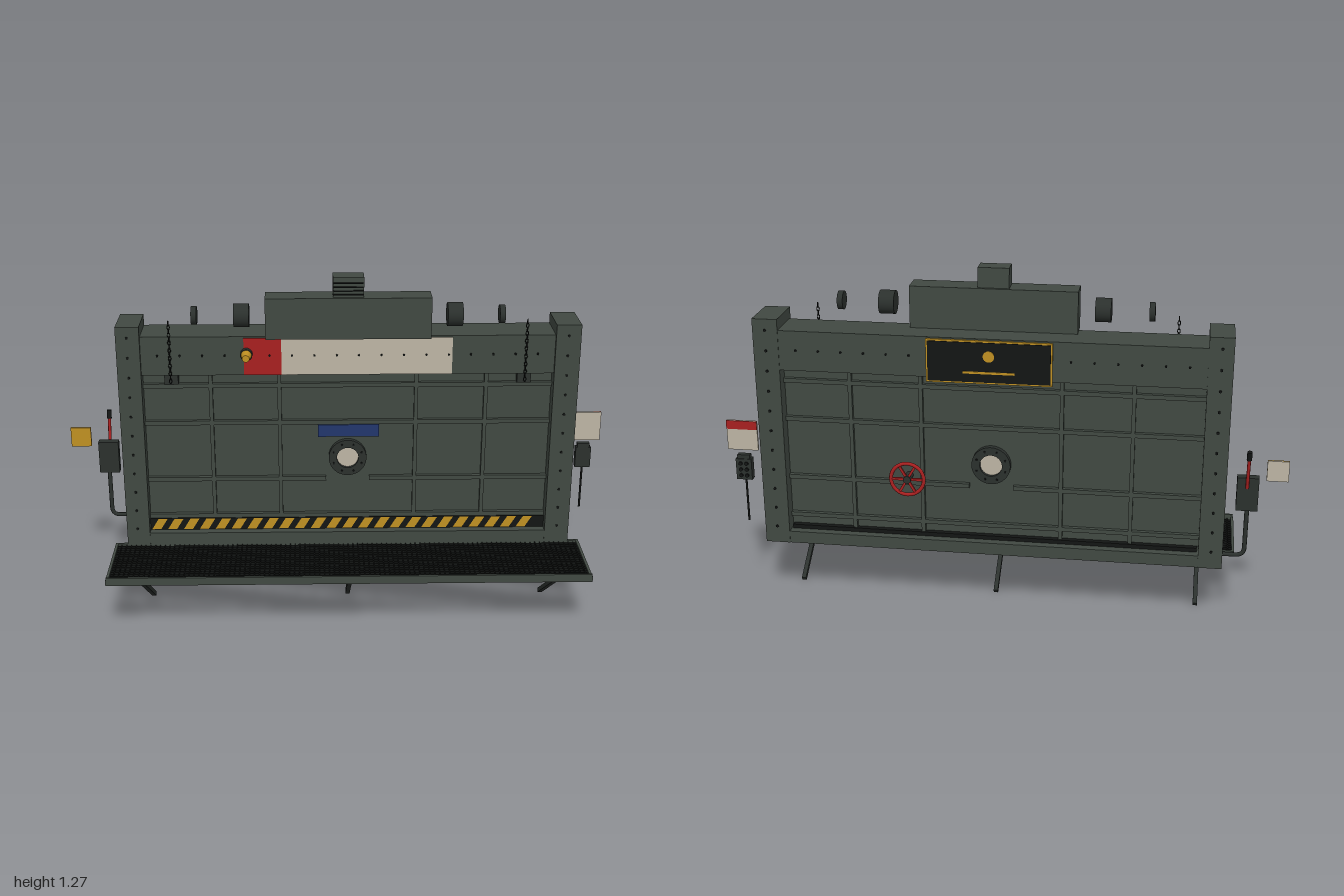
import * as THREE from 'three';
import { mergeGeometries } from 'three/addons/utils/BufferGeometryUtils.js';

const mat = (name, color) => {
  const m = new THREE.MeshStandardMaterial({ color });
  m.name = name;
  return m;
};

export function createModel() {
  const root = new THREE.Group();
  root.name = 'blastDoor';
  const steel = mat('greenGreySteel', 0x414942);
  const dark = mat('darkSteel', 0x2b302d);
  const black = mat('black', 0x131514);
  const beige = mat('beige', 0xbdb5a4);
  const yellow = mat('yellow', 0xc09022);
  const red = mat('red', 0xa82020);
  const blue = mat('blue', 0x22366c);
  const CX = 0.04; // middle of the doorway

  const add = (name, geo, material, parent = root) => {
    const m = new THREE.Mesh(geo, material);
    m.name = name;
    parent.add(m);
    return m;
  };
  // box given by its two corners
  const boxGeo = (x0, x1, y0, y1, z0, z1) =>
    new THREE.BoxGeometry(x1 - x0, y1 - y0, z1 - z0).translate((x0 + x1) / 2, (y0 + y1) / 2, (z0 + z1) / 2);
  const box = (name, material, ...b) => add(name, boxGeo(...b), material);
  // cylinders along x or z
  const cylX = (r, len, x, y, z, n = 24) =>
    new THREE.CylinderGeometry(r, r, len, n).rotateZ(Math.PI / 2).translate(x, y, z);
  const cylZ = (r, len, x, y, z, n = 24, r2 = r) =>
    new THREE.CylinderGeometry(r2, r, len, n).rotateX(Math.PI / 2).translate(x, y, z);
  // straight bar between two points
  const rod = (name, material, a, b, r, sides = 8) => {
    const p = new THREE.Vector3(...a), q = new THREE.Vector3(...b);
    const m = add(name, new THREE.CylinderGeometry(r, r, p.distanceTo(q), sides), material);
    m.position.copy(p).add(q).multiplyScalar(0.5);
    m.quaternion.setFromUnitVectors(new THREE.Vector3(0, 1, 0), q.sub(p).normalize());
    return m;
  };

  // frame
  box('rightColumn', steel, -0.79, -0.705, 0.23, 1.085, -0.207, -0.043);
  box('leftColumn', steel, 0.785, 0.875, 0.23, 1.085, -0.207, -0.043);
  box('headerBeam', steel, -0.705, 0.785, 0.9, 1.045, -0.205, -0.055);
  box('sill', steel, -0.705, 0.785, 0.23, 0.275, -0.205, -0.045);

  // bolts on columns and header, front and back
  const bolts = [];
  for (const z of [-0.043, -0.208]) {
    for (let i = 0; i < 11; i++)
      for (const x of [-0.75, 0.83]) bolts.push(cylZ(0.005, 0.008, x, 0.295 + i * 0.075, z, 6));
    for (let i = 0; i < 18; i++) bolts.push(cylZ(0.004, 0.01, -0.645 + i * 0.0805, 0.975, z < -0.1 ? -0.206 : -0.051, 6));
  }
  add('bolts', mergeGeometries(bolts), black);

  // door leaf with ribs on both faces
  const leaf = new THREE.Shape();
  leaf.moveTo(-0.705, 0.27).lineTo(0.785, 0.27).lineTo(0.785, 0.9).lineTo(-0.705, 0.9).closePath();
  leaf.holes.push(new THREE.Path().absarc(CX, 0.565, 0.045, 0, Math.PI * 2, true));
  add('doorLeaf', new THREE.ExtrudeGeometry(leaf, { depth: 0.06, bevelEnabled: false, curveSegments: 24 }).translate(0, 0, -0.155), steel);
  const ribs = [];
  for (const [z0, z1] of [[-0.097, -0.08], [-0.17, -0.153]]) {
    for (const y of [0.85, 0.705, 0.33]) ribs.push(boxGeo(-0.705, 0.785, y - 0.008, y + 0.008, z0, z1));
    ribs.push(boxGeo(-0.705, CX - 0.08, 0.472, 0.488, z0, z1), boxGeo(CX + 0.08, 0.785, 0.472, 0.488, z0, z1));
    for (const x of [-0.46, -0.21, 0.29, 0.545]) ribs.push(boxGeo(x - 0.007, x + 0.007, 0.275, 0.9, z0, z1));
  }
  add('doorRibs', mergeGeometries(ribs), steel);
  box('bottomSeal', black, -0.7, 0.78, 0.275, 0.29, -0.175, -0.155);

  // porthole
  const ring = new THREE.Shape().absarc(0, 0, 0.07, 0, Math.PI * 2);
  ring.holes.push(new THREE.Path().absarc(0, 0, 0.04, 0, Math.PI * 2, true));
  const ringGeo = new THREE.ExtrudeGeometry(ring, { depth: 0.1, bevelEnabled: false, curveSegments: 32 });
  add('portholeRing', ringGeo.translate(CX, 0.565, -0.175), dark);
  add('portholeGlass', cylZ(0.041, 0.075, CX, 0.565, -0.125, 32), beige);
  const ringBolts = [];
  for (let i = 0; i < 8; i++) {
    const a = (i + 0.5) * Math.PI / 4;
    ringBolts.push(cylZ(0.004, 0.108, CX + 0.056 * Math.cos(a), 0.565 + 0.056 * Math.sin(a), -0.125, 6));
  }
  add('portholeBolts', mergeGeometries(ringBolts), black);
  box('bluePlaque', blue, -0.07, 0.155, 0.65, 0.697, -0.08, -0.075);

  // hazard stripes along the door foot
  box('hazardBand', black, -0.705, 0.785, 0.275, 0.322, -0.08, -0.076);
  const stripes = [];
  for (let x = -0.7; x < 0.74; x += 0.06) {
    const s = new THREE.Shape();
    s.moveTo(x, 0.277).lineTo(x + 0.034, 0.277).lineTo(x + 0.06, 0.32).lineTo(x + 0.026, 0.32).closePath();
    stripes.push(new THREE.ShapeGeometry(s).translate(0, 0, -0.075));
  }
  add('hazardStripes', mergeGeometries(stripes), yellow);

  // header signs and warning lamp
  box('redPanel', red, -0.335, -0.2, 0.902, 1.04, -0.056, -0.05);
  box('beigePanel', beige, -0.2, 0.415, 0.902, 1.04, -0.056, -0.05);
  add('lampBase', cylZ(0.022, 0.02, -0.325, 0.982, -0.042), dark);
  add('lampDome', cylZ(0.019, 0.04, -0.325, 0.982, -0.012, 24, 0.013), yellow);
  box('backSignBorder', yellow, -0.18, 0.26, 0.885, 1.04, -0.212, -0.204);
  box('backSign', black, -0.174, 0.254, 0.891, 1.034, -0.215, -0.21);
  add('backSignMark', cylZ(0.02, 0.004, CX, 0.985, -0.215).scale(1, 1, 1), yellow);
  box('backSignLine', yellow, -0.05, 0.13, 0.922, 0.93, -0.217, -0.214);

  // hoist on top
  box('motorHousing', steel, -0.255, 0.335, 1.045, 1.195, -0.106, -0.017);
  box('ventCap', steel, -0.015, 0.095, 1.19, 1.267, -0.095, -0.03);
  for (let i = 0; i < 4; i++) box('ventSlat', black, -0.012, 0.092, 1.203 + i * 0.014, 1.207 + i * 0.014, -0.031, -0.025);
  for (const s of [-1, 1]) {
    add('drum', cylX(0.042, 0.055, CX + s * 0.38, 1.123, -0.061, 32), dark);
    add('pulley', cylX(0.033, 0.02, CX + s * 0.548, 1.123, -0.061, 32), dark);
    // lifting chain and its bracket
    const x = CX + s * 0.64, links = [];
    for (let i = 0; i < 16; i++)
      links.push(new THREE.TorusGeometry(0.006, 0.002, 5, 8).scale(0.8, 1.4, 1)
        .rotateY(i % 2 ? Math.PI / 2 : 0).translate(x, 0.88 + i * 0.0145, -0.048));
    add('chain', mergeGeometries(links), black);
    box('chainBracket', dark, x - 0.025, x + 0.025, 0.86, 0.897, -0.095, -0.068);
  }

  // red handwheel on the back
  const wheel = new THREE.Group();
  wheel.name = 'handwheel';
  wheel.position.set(0.34, 0.505, -0.195);
  root.add(wheel);
  add('wheelRim', new THREE.TorusGeometry(0.06, 0.007, 8, 32), red, wheel);
  for (let i = 0; i < 3; i++) add('wheelSpoke', new THREE.BoxGeometry(0.118, 0.009, 0.008), red, wheel).rotation.z = i * Math.PI / 3;
  add('wheelHub', cylZ(0.014, 0.05, 0, 0, 0.015), dark, wheel);

  // grated platform
  box('platformFrontEdge', steel, -0.835, 0.915, 0.21, 0.24, 0.243, 0.252);
  box('platformBackEdge', steel, -0.835, 0.915, 0.21, 0.23, -0.057, -0.047);
  box('platformRightEdge', steel, -0.837, -0.827, 0.21, 0.23, -0.057, 0.252);
  box('platformLeftEdge', steel, 0.907, 0.917, 0.21, 0.23, -0.057, 0.252);
  const bars = [];
  for (let i = 1; i < 17; i++) {
    const z = -0.052 + i * 0.0176;
    bars.push(boxGeo(-0.83, 0.91, 0.213, 0.226, z - 0.0015, z + 0.0015));
  }
  for (let i = 1; i < 96; i++) {
    const x = -0.832 + i * 0.0182;
    bars.push(boxGeo(x - 0.0015, x + 0.0015, 0.214, 0.225, -0.05, 0.245));
  }
  add('grating', mergeGeometries(bars), black);
  for (const x of [-0.705, CX, 0.785]) {
    const a = Math.atan2(0.2, 0.29);
    const b = add('brace', new THREE.BoxGeometry(0.016, 0.016, 0.352), dark);
    b.position.set(x, 0.108, 0.08);
    b.rotation.x = -a;
  }

  // lever box with conduit
  box('leverBox', dark, -0.9, -0.825, 0.465, 0.588, -0.217, -0.185);
  rod('leverShaft', red, [-0.86, 0.55, -0.215], [-0.86, 0.67, -0.24], 0.006);
  rod('leverGrip', black, [-0.86, 0.665, -0.239], [-0.86, 0.697, -0.247], 0.009, 12);
  const conduit = new THREE.CurvePath();
  const v = (x, y) => new THREE.Vector3(x, y, -0.195);
  conduit.add(new THREE.LineCurve3(v(-0.865, 0.47), v(-0.865, 0.315)));
  conduit.add(new THREE.QuadraticBezierCurve3(v(-0.865, 0.315), v(-0.865, 0.285), v(-0.835, 0.285)));
  conduit.add(new THREE.LineCurve3(v(-0.835, 0.285), v(-0.785, 0.285)));
  add('conduit', new THREE.TubeGeometry(conduit, 32, 0.008, 8), dark);

  // side signs
  box('yellowSign', yellow, -1, -0.925, 0.573, 0.648, -0.192, -0.187);
  box('yellowSignBack', beige, -1, -0.925, 0.573, 0.648, -0.197, -0.192);
  box('beigeSign', beige, 0.887, 1, 0.585, 0.697, -0.195, -0.187);
  box('beigeSignBand', red, 0.887, 1, 0.665, 0.697, -0.198, -0.195);

  // pendant control with buttons and cable
  box('pendant', dark, 0.912, 0.97, 0.475, 0.555, -0.21, -0.183);
  box('pendantTop', dark, 0.918, 0.964, 0.555, 0.57, -0.207, -0.186);
  for (let i = 0; i < 3; i++)
    for (const x of [0.93, 0.952]) add('button', cylZ(0.007, 0.008, x, 0.492 + i * 0.023, -0.212, 12), black);
  rod('pendantCable', black, [0.941, 0.305, -0.192], [0.941, 0.478, -0.192], 0.004);

  return root;
}
